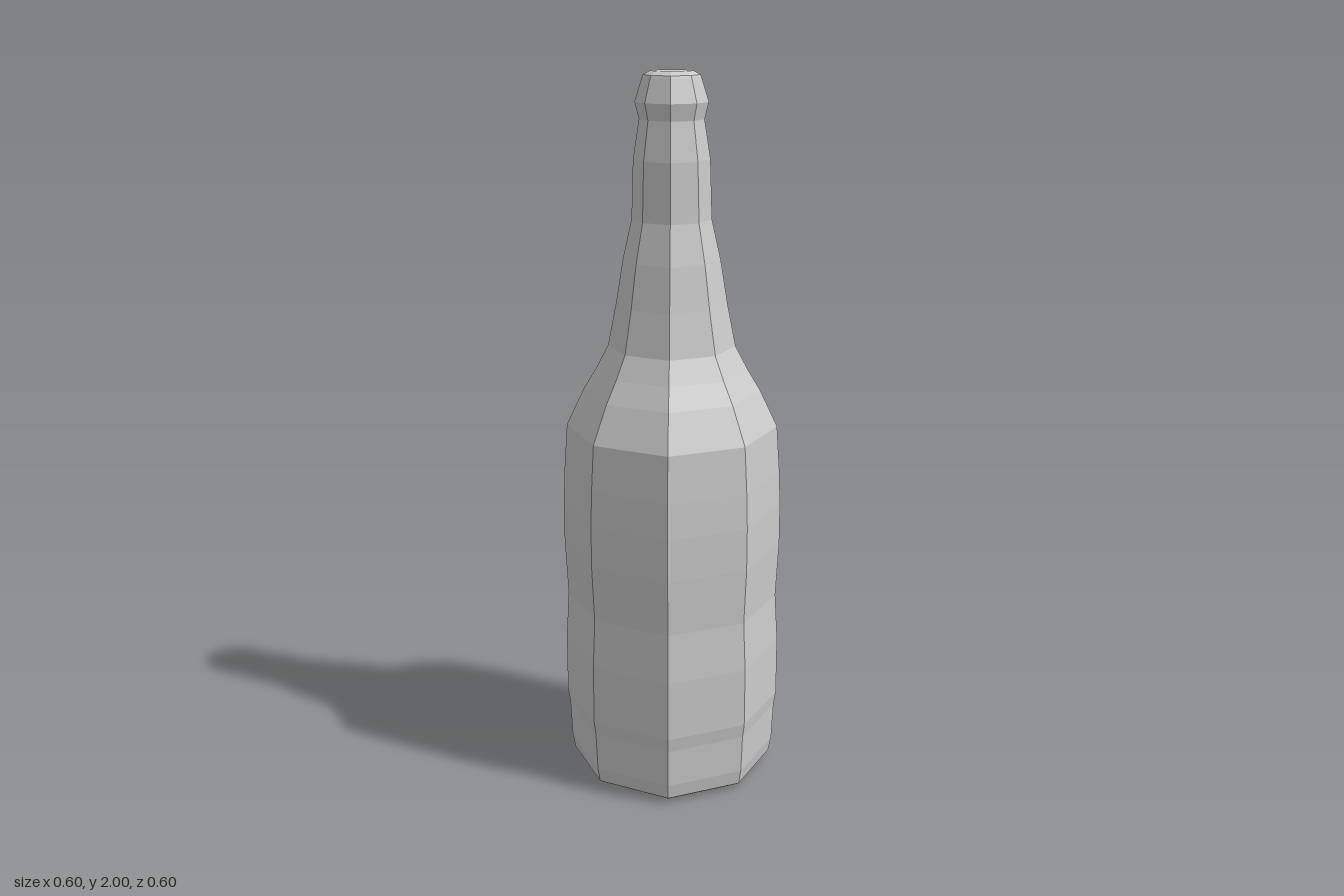
import * as THREE from 'three';

export function createModel() {
  const group = new THREE.Group();
  group.name = 'bottle';
  const material = new THREE.MeshStandardMaterial({ color: 0xcccccc, flatShading: true });

  // Eight-sided turned part; the diagonal corners sit slightly further out
  function turned(name, profile) {
    const points = profile.map(([r, y]) => new THREE.Vector2(r, y));
    const geometry = new THREE.LatheGeometry(points, 8);
    const pos = geometry.attributes.position;
    for (let i = 0; i < pos.count; i++) {
      const x = pos.getX(i), z = pos.getZ(i);
      const k = Math.abs(x * z) > 1e-6 ? 1.027 : 1;
      pos.setXYZ(i, x * k, pos.getY(i), z * k);
    }
    const mesh = new THREE.Mesh(geometry, material);
    mesh.name = name;
    group.add(mesh);
  }

  // Base and gently waisted body
  turned('body', [
    [0, 0], [0.26, 0.003], [0.282, 0.017], [0.29, 0.06], [0.295, 0.17], [0.301, 0.21],
    [0.301, 0.38], [0.293, 0.52], [0.301, 0.68], [0.301, 0.8], [0.297, 0.9], [0.288, 1.03],
  ]);
  // Shoulder and tapering neck
  turned('neck', [
    [0.288, 1.03], [0.24, 1.135], [0.205, 1.195], [0.172, 1.26], [0.149, 1.38],
    [0.13, 1.5], [0.106, 1.61], [0.101, 1.77], [0.085, 1.875],
  ]);
  // Lip with bevelled closed top
  turned('lip', [
    [0.085, 1.875], [0.096, 1.92], [0.077, 1.982], [0.074, 1.99], [0.056, 2], [0, 2],
  ]);

  return group;
}
